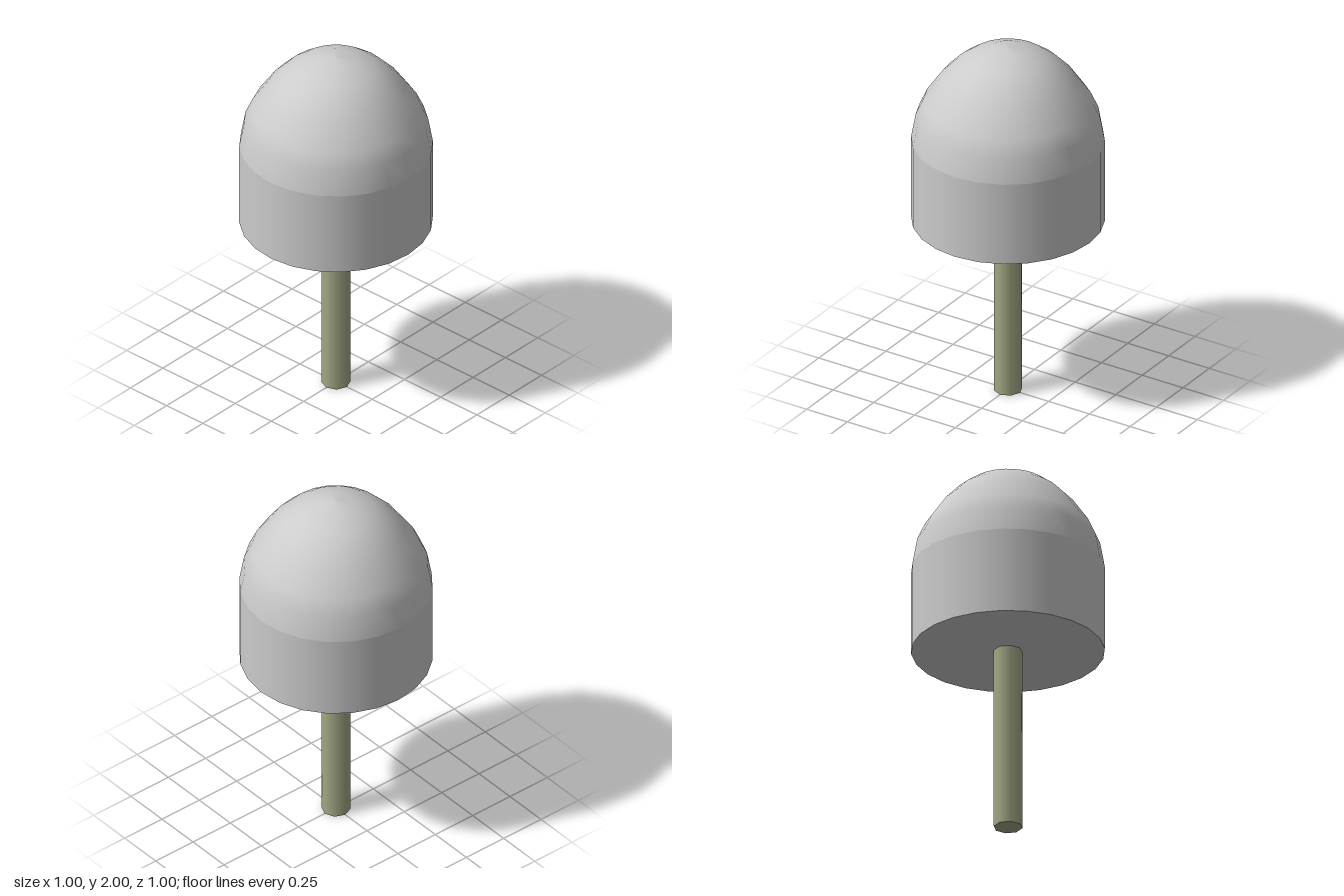
import * as THREE from 'three';

export function createModel() {
  const group = new THREE.Group();
  const grey = new THREE.MeshStandardMaterial({ color: 0xcccccc });
  const wood = new THREE.MeshStandardMaterial({ color: 0xa3a985 });

  function add(name, geometry, material, y = 0) {
    const mesh = new THREE.Mesh(geometry, material);
    mesh.name = name;
    mesh.position.y = y;
    group.add(mesh);
  }

  // Straight wall of the head, open at both ends
  add('headWall', new THREE.CylinderGeometry(0.5, 0.5, 0.465, 24, 1, true), grey, 1.2325);

  // Rounded cap, listed from rim to crown
  const profile = [
    [0.5, 1.465], [0.476, 1.6], [0.435, 1.69], [0.352, 1.81],
    [0.275, 1.89], [0.2, 1.945], [0.1, 1.987], [0, 2],
  ].map(([r, y]) => new THREE.Vector2(r, y));
  add('headDome', new THREE.LatheGeometry(profile, 24), grey);

  // Flat underside of the head
  const base = new THREE.CircleGeometry(0.5, 24).rotateX(Math.PI / 2);
  add('headBase', base, grey, 1);

  // Eight-sided handle
  add('stick', new THREE.CylinderGeometry(0.075, 0.075, 1, 8), wood, 0.5);

  return group;
}
